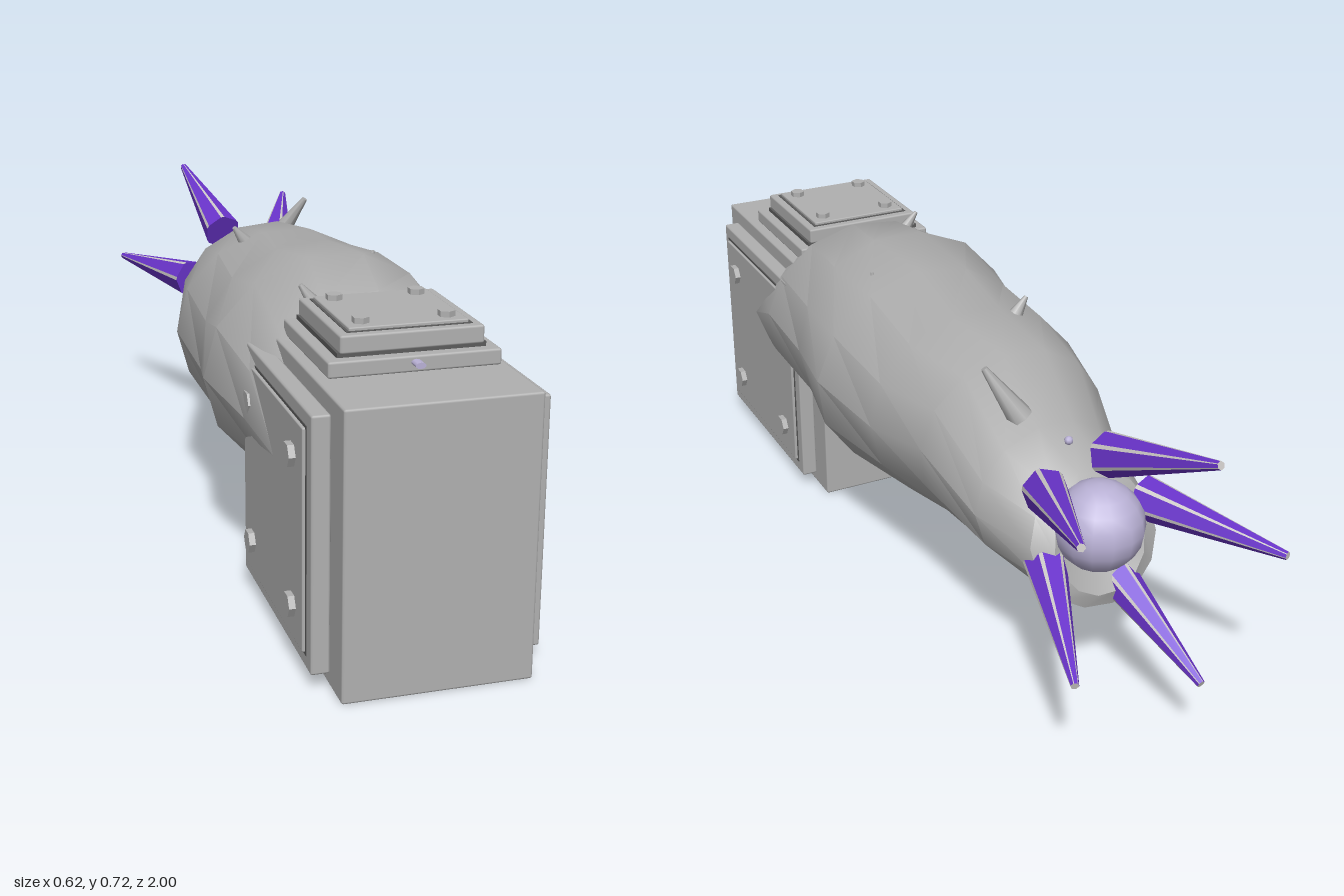
import * as THREE from 'three';
import { toCreasedNormals } from 'three/addons/utils/BufferGeometryUtils.js';
import { RoundedBoxGeometry } from 'three/addons/geometries/RoundedBoxGeometry.js';

const paint = (name, color) => {
  const m = new THREE.MeshStandardMaterial({ color });
  m.name = name;
  return m;
};

export function createModel() {
  const metal = paint('plate grey', 0xb0b0b0);
  const hide = paint('hide grey', 0xacacac);
  const dark = paint('groove grey', 0x5c5c5c);
  const purple = paint('crystal purple', 0x6a34cc);
  const pale = paint('ridge pale', 0xc9c6c4);
  const lilac = paint('orb lilac', 0xbab2d6);

  const model = new THREE.Group();
  const add = (parent, name, geo, mat, x = 0, y = 0, z = 0) => {
    const m = new THREE.Mesh(geo, mat);
    m.name = name;
    m.position.set(x, y, z);
    parent.add(m);
    return m;
  };
  // Places a y-aligned geometry so that it runs from a to b
  const UP = new THREE.Vector3(0, 1, 0);
  const between = (name, geo, mat, a, b) => {
    const m = add(model, name, geo, mat);
    m.position.copy(a).add(b).multiplyScalar(0.5);
    m.quaternion.setFromUnitVectors(UP, b.clone().sub(a).normalize());
  };
  const slab = (w, h, d, r = 0.005) => new RoundedBoxGeometry(w, h, d, 1, r);
  const boltGeo = (r, h) => toCreasedNormals(new THREE.CylinderGeometry(r, r, h, 6), 0.3);

  // Main block
  add(model, 'block', slab(0.4, 0.605, 0.665), metal, 0, 0.3025, 0.6675);

  // Armour plate lying flat: base, dark groove, raised panel, bolts
  const armour = (name, w, d, t, panelW, panelD, boltX, boltZ, boltR, boltH) => {
    const g = new THREE.Group();
    g.name = name;
    add(g, 'plateBase', slab(w, t, d), metal, 0, t / 2, 0);
    add(g, 'plateGroove', new THREE.BoxGeometry(panelW + 0.012, 0.003, panelD + 0.012), dark, 0, t, 0);
    add(g, 'platePanel', slab(panelW, 0.012, panelD, 0.003), metal, 0, t + 0.002, 0);
    for (const sx of [-1, 1]) for (const sz of [-1, 1])
      add(g, 'bolt', boltGeo(boltR, boltH), metal, sx * boltX, t + 0.008 + boltH / 2, sz * boltZ);
    model.add(g);
    return g;
  };

  // Side armour, one on each flank
  for (const s of [-1, 1]) {
    const side = armour('sideArmour', 0.54, 0.535, 0.04, 0.47, 0.465, 0.16, 0.1625, 0.026, 0.014);
    side.position.set(s * 0.203, 0.3045, 0.665);
    side.rotation.z = -s * Math.PI / 2;
  }

  // Stepped top armour
  add(model, 'topStep', slab(0.36, 0.034, 0.33), metal, 0, 0.626, 0.665);
  add(model, 'topRiser', new THREE.BoxGeometry(0.31, 0.014, 0.29), dark, 0, 0.646, 0.66);
  armour('topArmour', 0.3, 0.3, 0.038, 0.25, 0.25, 0.09, 0.09, 0.018, 0.012).position.set(0, 0.65, 0.66);

  // Small stud on the front of the top step
  const stud = add(model, 'frontStud', new THREE.CylinderGeometry(0.011, 0.011, 0.04, 10), lilac, 0, 0.63, 0.837);
  stud.rotation.x = Math.PI / 2;
  stud.scale.z = 0.6;

  // Body rings: z, left reach, right reach, top, bottom, slant of z with height
  const rings = [
    [0.8, 0.02, 0.02, 0.45, 0.38, 0],
    [0.79, 0.16, 0.16, 0.52, 0.3, 0],
    [0.69, 0.25, 0.25, 0.57, 0.24, 0],
    [0.5, 0.27, 0.282, 0.69, 0.22, 0],
    [0.3, 0.312, 0.275, 0.727, 0.192, 0],
    [0.09, 0.275, 0.312, 0.71, 0.177, 0],
    [-0.13, 0.285, 0.268, 0.692, 0.2, 0],
    [-0.33, 0.235, 0.237, 0.667, 0.24, 0],
    [-0.54, 0.168, 0.205, 0.585, 0.243, 0.1],
    [-0.7, 0.15, 0.156, 0.525, 0.252, 0.4],
    [-0.72, 0.11, 0.11, 0.5, 0.285, 0.4],
    [-0.68, 0.01, 0.01, 0.42, 0.4, 0.1],
  ];
  const N = 14, pos = [], idx = [];
  rings.forEach(([z, left, right, top, bottom, slant], i) => {
    const cy = (top + bottom) / 2, ry = (top - bottom) / 2;
    for (let j = 0; j < N; j++) {
      const a = ((j + (i % 2) * 0.25) / N) * Math.PI * 2;
      const c = Math.cos(a), h = ry * Math.sin(a);
      pos.push(c * (c > 0 ? right : left), cy + h, z + h * slant);
      if (i < rings.length - 1) {
        const p = i * N + j, q = i * N + ((j + 1) % N);
        idx.push(p, p + N, q, q, p + N, q + N);
      }
    }
  });
  let body = new THREE.BufferGeometry();
  body.setAttribute('position', new THREE.Float32BufferAttribute(pos, 3));
  body.setIndex(idx);
  add(model, 'body', toCreasedNormals(body, 0.55), hide);

  // Orb in the tail opening
  add(model, 'tailOrb', new THREE.SphereGeometry(0.1, 14, 10), lilac, 0.005, 0.435, -0.718);
  add(model, 'backBead', new THREE.SphereGeometry(0.01, 8, 6), lilac, 0, 0.565, -0.575);

  // Six-sided crystal spike: wide purple faces with narrow pale ridges
  const spikeGeo = (length) => {
    const g = new THREE.CylinderGeometry(0.009, 0.05, length, 12, 1);
    const p = g.attributes.position;
    for (let i = 0; i < p.count; i++) {
      const r = Math.hypot(p.getX(i), p.getZ(i));
      if (r < 1e-4) continue;
      const k = Math.round((Math.atan2(p.getX(i), p.getZ(i)) / Math.PI) * 6 + 12) % 12;
      const a = Math.floor(k / 2) * Math.PI / 3 + (k % 2 ? 0.1 : -0.1);
      p.setX(i, r * Math.sin(a));
      p.setZ(i, r * Math.cos(a));
    }
    g.clearGroups();
    for (let i = 0; i < 12; i++) g.addGroup(i * 6, 6, i % 2 ? 0 : 1);
    g.addGroup(72, 36, 1);
    g.addGroup(108, 36, 0);
    const flat = g.toNonIndexed();
    flat.computeVertexNormals();
    return flat;
  };
  for (let i = 0; i < 5; i++) {
    const a = Math.PI * (0.2 + 0.4 * i);
    const at = (r, z) => new THREE.Vector3(r * Math.cos(a), 0.44 + r * Math.sin(a), z);
    const base = at(0.135, -0.67), tip = at(0.272, -0.998);
    between('tailSpike', spikeGeo(base.distanceTo(tip)), [purple, pale], base, tip);
  }

  // Thorns on the back: base, tip, base radius
  const thorns = [
    [[0.06, 0.585, -0.47], [0.13, 0.7, -0.43], 0.03],
    [[-0.1, 0.655, -0.14], [-0.135, 0.7, -0.135], 0.02],
    [[0.118, 0.655, 0.17], [0.126, 0.695, 0.17], 0.013],
    [[-0.095, 0.65, 0.475], [-0.135, 0.705, 0.47], 0.02],
  ];
  for (const [b, t, r] of thorns) {
    const base = new THREE.Vector3(...b), tip = new THREE.Vector3(...t);
    const cone = new THREE.CylinderGeometry(r * 0.25, r, base.distanceTo(tip), 8);
    between('thorn', cone, hide, base, tip);
  }

  return model;
}
